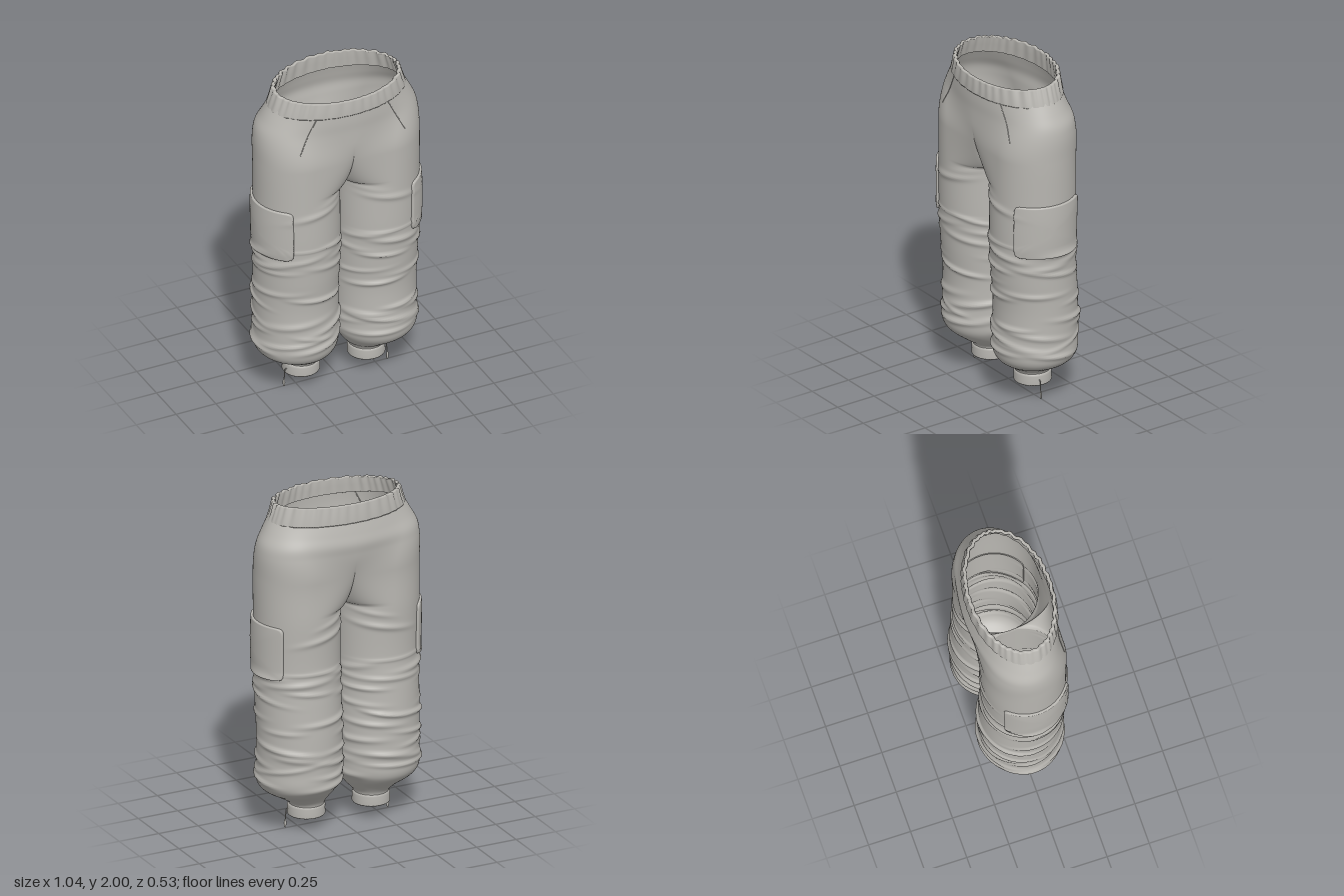
import * as THREE from 'three';
import { mergeVertices, mergeGeometries } from 'three/addons/utils/BufferGeometryUtils.js';

const { lerp, smoothstep, clamp } = THREE.MathUtils;
const PI = Math.PI;
const CROTCH = 1.34;

// Leg outline by height: y, outer x, inner x, front z, back z
const OUTLINE = [
  [0.13, 0.305, 0.105, 0.08, -0.125], [0.16, 0.31, 0.10, 0.085, -0.13],
  [0.20, 0.37, 0.065, 0.14, -0.16], [0.25, 0.455, 0.03, 0.205, -0.215],
  [0.29, 0.485, 0.008, 0.228, -0.243], [0.40, 0.488, 0, 0.23, -0.25],
  [0.60, 0.49, 0, 0.225, -0.25], [0.80, 0.493, 0, 0.24, -0.24],
  [1.00, 0.495, 0, 0.25, -0.228], [1.30, 0.498, 0, 0.25, -0.235],
  [1.55, 0.5, 0, 0.25, -0.235], [1.70, 0.497, 0, 0.25, -0.255],
  [1.76, 0.485, 0, 0.25, -0.262], [1.82, 0.455, 0, 0.252, -0.25],
  [1.91, 0.405, 0, 0.25, -0.228],
];
const outline = new THREE.CubicInterpolant(OUTLINE.map(r => r[0]), OUTLINE.flatMap(r => r.slice(1)), 4);

function seeded(seed) {
  return () => {
    seed = (seed * 16807) % 2147483647;
    return seed / 2147483647;
  };
}

// Cloth folds for one leg: height, slope, angle, angular reach, height of ridge, thickness
function makeFolds(seed) {
  const rnd = seeded(seed);
  const folds = [
    [1.33, 0.05, 2.5, 1.1, 0.014, 0.016], [1.25, 0.04, 1.7, 1.1, 0.011, 0.018],
    [1.31, -0.05, -2.4, 1.1, 0.013, 0.016], [1.21, -0.04, -1.9, 1.2, 0.011, 0.018],
    [1.02, 0, 1.5, 1.6, 0.006, 0.007], [1.0, 0, -1.5, 1.6, 0.007, 0.008],
  ];
  for (const [low, high, count] of [[0.3, 0.54, 15], [0.6, 0.75, 6], [0.83, 1.0, 11]]) {
    for (let i = 0; i < count; i++) {
      folds.push([lerp(low, high, (i + rnd()) / count), (rnd() - 0.5) * 0.09, (i * 2.4 + rnd()) % (2 * PI) - PI,
        0.8 + rnd() * 0.8, 0.008 + rnd() * 0.008, 0.011 + rnd() * 0.008]);
    }
  }
  return folds;
}
const FOLDS = { 1: makeFolds(41), '-1': makeFolds(977) };

function foldHeight(side, a, y) {
  let h = 0;
  for (const [fy, slope, fa, reach, amp, thick] of FOLDS[side]) {
    const d = Math.atan2(Math.sin(a - fa), Math.cos(a - fa));
    if (Math.abs(d) > reach) continue;
    const e = (y - fy - slope * d) / thick;
    h += amp * Math.cos(d / reach * PI / 2) ** 2 * Math.exp(-e * e);
  }
  return Math.min(h, 0.02) * lerp(1, (1 + Math.cos(a)) / 2, smoothstep(y, 1.25, CROTCH));
}

// Cloth surface; a = 0 is the outer side, PI/2 the front, +-PI the inside of the leg
function cloth(side, a, y, offset = 0) {
  const [outer, innerRaw, zf, zb] = outline.evaluate(y);
  const inner = Math.max(innerRaw, 0);
  const c = Math.cos(a), s = Math.sin(a);
  const r = (outer - inner) / 2, cx = (outer + inner) / 2;
  const cz = (zf + zb) / 2, b = (zf - zb) / 2;
  // Above the crotch the two leg rings open into one shared hip ring
  const t = clamp((y - CROTCH) / 0.34, 0, 1);
  const open = t < 1e-6 ? 0 : Math.sqrt(1 - (1 - t) ** 2);
  let x = cx + r * c, z = s;
  if (c < 0) z = lerp(s, a >= 0 ? 1 : -1, open);
  // Toward the waist the ring becomes an ellipse
  const w = smoothstep(y, 1.55, 1.9);
  x = lerp(x, outer * Math.cos(a / 2), w);
  z = cz + b * lerp(z, Math.sin(a / 2), w);
  const d = offset + foldHeight(side, a, y);
  x = Math.max(x + d * c, clamp((CROTCH - y) * 0.2, 0, 0.004));
  if (Math.abs(a) > PI - 1e-6 && y > CROTCH - 1e-6) x = 0;
  return new THREE.Vector3(x * side, y, z + d * s);
}

// Grid surface from a function of column and row
function grid(cols, rows, point, flip = false) {
  const pos = [], index = [];
  for (let j = 0; j <= rows; j++) for (let i = 0; i <= cols; i++) pos.push(...point(i / cols, j / rows).toArray());
  for (let j = 0; j < rows; j++) for (let i = 0; i < cols; i++) {
    const p = j * (cols + 1) + i, q = p + cols + 1;
    if (flip) index.push(p, p + 1, q, p + 1, q + 1, q);
    else index.push(p, q, p + 1, p + 1, q, q + 1);
  }
  const g = new THREE.BufferGeometry();
  g.setAttribute('position', new THREE.Float32BufferAttribute(pos, 3));
  g.setIndex(index);
  return g;
}

function smooth(g) {
  const m = mergeVertices(g, 1e-5);
  m.computeVertexNormals();
  return m;
}

export function createModel() {
  const group = new THREE.Group();
  const fabric = new THREE.MeshStandardMaterial({ name: 'greyFabric', color: 0xb8b6b1, side: THREE.DoubleSide });
  const add = (name, geometry) => {
    const mesh = new THREE.Mesh(geometry, fabric);
    mesh.name = name;
    group.add(mesh);
    return mesh;
  };

  // Legs and hips in one continuous cloth shell
  const halves = [1, -1].map(side =>
    grid(96, 177, (u, v) => cloth(side, (u * 2 - 1) * PI, 0.13 + v * 1.77), side < 0));
  add('legsAndHips', smooth(mergeGeometries(halves)));

  // Gathered elastic waistband: offset and height fraction around its section
  const band = [[-0.008, 0], [0.008, 0], [0.012, 0.06], [0.01, 0.5], [0.011, 0.94], [0.007, 1],
    [-0.007, 1], [-0.011, 0.94], [-0.011, 0.5], [-0.012, 0.02]];
  add('waistband', smooth(grid(240, band.length - 1, (u, v) => {
    const a = u * 2 * PI, c = Math.cos(a), s = Math.sin(a);
    const [off, h] = band[Math.round(v * (band.length - 1))];
    const gather = 0.0035 * Math.sin(38 * a + 2 * Math.sin(5 * a)) + 0.002 * Math.sin(23 * a + 3 * Math.sin(3 * a));
    const d = off + gather * (0.4 + 0.6 * h);
    const zf = lerp(0.25, 0.245, h), zb = lerp(-0.232, -0.222, h);
    const y = lerp(1.877 - 0.008 * s, 1.98 - 0.016 * s + gather * 0.5, h);
    return new THREE.Vector3((lerp(0.41, 0.376, h) + d) * c, y, (zf + zb) / 2 + ((zf - zb) / 2 + d) * s);
  })));

  for (const side of [1, -1]) {
    const label = side > 0 ? 'left' : 'right';

    // Cargo pocket: rounded patch raised off the outer thigh
    const rings = [0, 0.15, 0.3, 0.45, 0.6, 0.75, 0.88, 0.95, 0.985, 1, 1.002];
    add(label + 'CargoPocket', smooth(grid(96, rings.length - 1, (u, v) => {
      const j = Math.round(v * (rings.length - 1)), t = u * 2 * PI;
      const c = Math.cos(t), s = Math.sin(t);
      const k = rings[j] / (Math.abs(c) ** 14 + Math.abs(s) ** 14) ** (1 / 14);
      const lift = j === rings.length - 1 ? -0.006 : j === rings.length - 2 ? 0.007 : 0.013 + 0.006 * (1 - rings[j] ** 2);
      return cloth(side, 0.13 + 0.93 * k * c, 1.13 + 0.16 * k * s, lift);
    }, side > 0)));

    // Slanted front pocket seam
    const seam = [];
    for (let i = 0; i <= 8; i++) {
      const y = lerp(1.87, 1.66, i / 8), x = lerp(0.225, 0.33, i / 8);
      let lo = 0, hi = PI;
      for (let n = 0; n < 24; n++) {
        const mid = (lo + hi) / 2;
        if (cloth(1, mid, y).x > x) lo = mid; else hi = mid;
      }
      seam.push(cloth(side, lo, y, 0.0005));
    }
    add(label + 'PocketSeam', new THREE.TubeGeometry(new THREE.CatmullRomCurve3(seam), 24, 0.0025, 6));

    // Ankle cuff
    const cuff = [[0.097, 0.15], [0.097, 0.085], [0.1, 0.08], [0.106, 0.08], [0.109, 0.086],
      [0.107, 0.11], [0.108, 0.135], [0.105, 0.148], [0.097, 0.15]].map(p => new THREE.Vector2(...p));
    add(label + 'Cuff', new THREE.LatheGeometry(cuff, 48)).position.set(0.205 * side, 0, -0.022);

    // Drawcord with a teardrop pull
    const cord = new THREE.CatmullRomCurve3([[0.3, 0.115], [0.317, 0.112], [0.321, 0.08], [0.324, 0.045]]
      .map(([x, y]) => new THREE.Vector3(x * side, y, 0.005)));
    add(label + 'Drawcord', new THREE.TubeGeometry(cord, 16, 0.003, 6));
    const pull = add(label + 'CordPull', new THREE.SphereGeometry(1, 12, 10));
    pull.scale.set(0.008, 0.026, 0.006);
    pull.position.set(0.325 * side, 0.026, 0.005);
  }
  return group;
}
